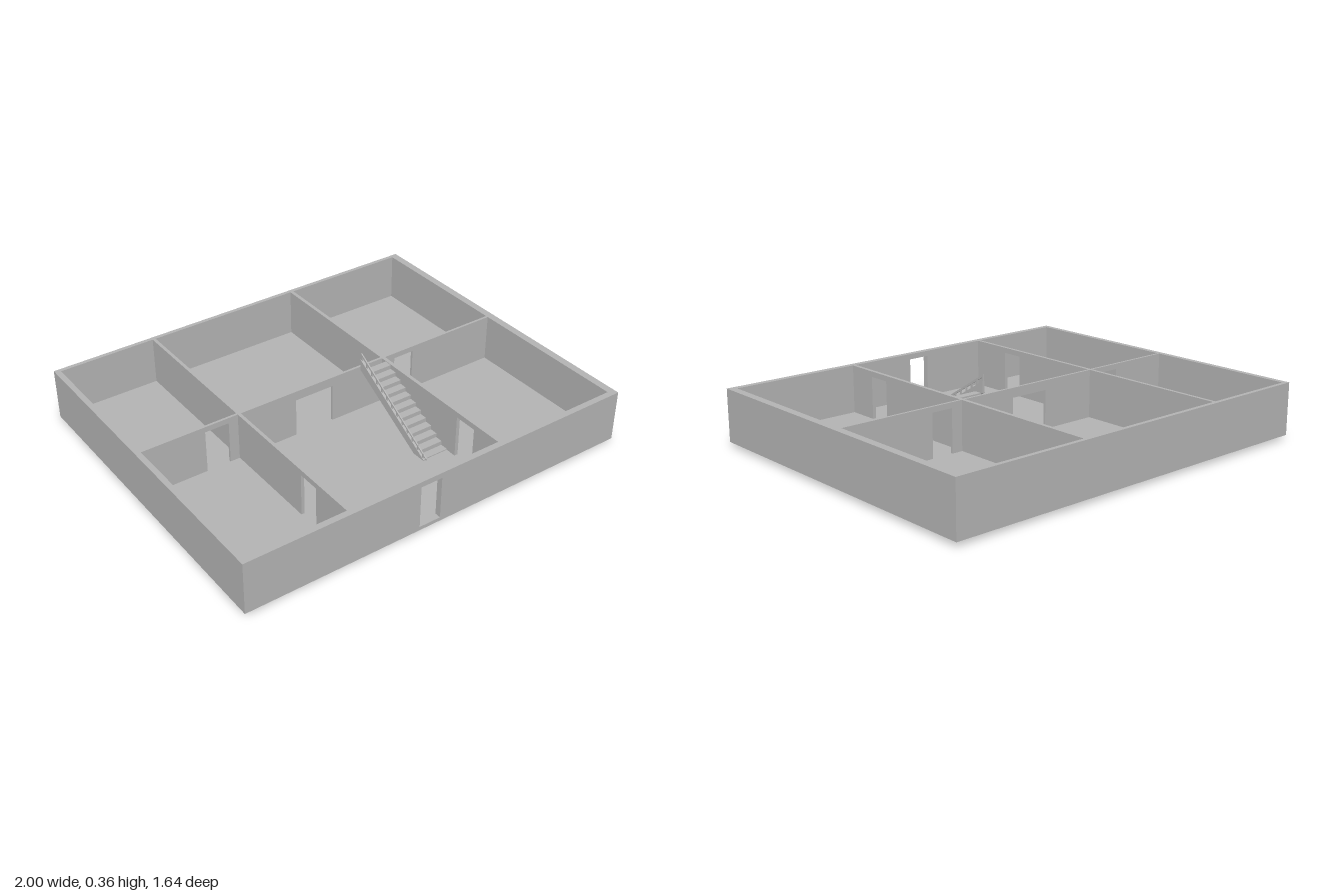
import * as THREE from 'three';

const FLOOR = 0.04, TOP = 0.277;

export function createModel() {
  const house = new THREE.Group();
  house.name = 'floorPlan';
  const grey = new THREE.MeshStandardMaterial({ color: 0xb2b2b2 });
  grey.name = 'plasterGrey';

  const add = (name, geometry, parent = house) => {
    const mesh = new THREE.Mesh(geometry, grey);
    mesh.name = name;
    parent.add(mesh);
    return mesh;
  };
  const box = (name, x0, x1, y0, y1, z0, z1, parent) => {
    const mesh = add(name, new THREE.BoxGeometry(x1 - x0, y1 - y0, z1 - z0), parent);
    mesh.position.set((x0 + x1) / 2, (y0 + y1) / 2, (z0 + z1) / 2);
    return mesh;
  };
  // Flat outline given as [along, y], extruded between two planes across x or z
  const plate = (name, axis, points, c0, c1, parent) => {
    const shape = new THREE.Shape(points.map(([a, y]) => new THREE.Vector2(a, y)));
    const mesh = add(name, new THREE.ExtrudeGeometry(shape, { depth: c1 - c0, bevelEnabled: false }), parent);
    if (axis === 'x') mesh.position.z = c0;
    else {
      mesh.rotation.y = -Math.PI / 2;
      mesh.position.x = c1;
    }
    return mesh;
  };
  // Wall running along an axis, with door notches [start, end, head height]
  const wall = (name, axis, from, to, c0, c1, doors = []) => {
    const points = [[from, FLOOR]];
    for (const [a, b, h] of doors) points.push([a, FLOOR], [a, h], [b, h], [b, FLOOR]);
    points.push([to, FLOOR], [to, TOP], [from, TOP]);
    plate(name, axis, points, c0, c1);
  };

  // Floor slab
  box('floorSlab', -1, 1, 0.022, FLOOR, -0.82, 0.82);

  // Outer walls
  wall('frontWall', 'x', -1, 1, 0.79, 0.82, [[-0.135, -0.025, 0.25]]);
  wall('backWall', 'x', -1, 1, -0.82, -0.8);
  wall('rightWall', 'z', -0.8, 0.79, -1, -0.973);
  wall('leftWall', 'z', -0.8, 0.79, 0.963, 1);

  // Inner walls
  wall('rightPartition', 'z', -0.8, 0.79, -0.492, -0.476, [[0.465, 0.575, 0.25]]);
  wall('leftPartition', 'z', -0.8, 0.79, 0.306, 0.324, [[0.52, 0.635, 0.25]]);
  wall('rightCrossWall', 'x', -0.973, -0.492, -0.04, -0.028, [[-0.66, -0.54, 0.25]]);
  wall('middleCrossWall', 'x', -0.476, 0.306, -0.04, -0.028, [[-0.183, 0.02, 0.23]]);
  wall('leftCrossWall', 'x', 0.324, 0.963, -0.04, -0.028, [[0.38, 0.49, 0.25]]);

  // Staircase climbing toward the back
  const stairs = new THREE.Group();
  stairs.name = 'staircase';
  house.add(stairs);
  const run = 0.0388, rise = 0.0208;
  for (let i = 0; i < 12; i++) {
    const z = 0.466 - i * run, y = 0.045 + i * rise;
    box('stairTread', 0.178, 0.306, y - rise, y, z - run, z, stairs);
  }
  plate('stairStringer', 'z', [[0.47, 0], [0.47, 0.045], [-0.01, 0.33], [-0.01, 0.275]], 0.166, 0.179, stairs);

  // Handrail and balusters
  const railY = z => 0.354 - (z + 0.01) * 0.6;
  plate('handrail', 'z', [[0.485, railY(0.485) - 0.008], [0.485, railY(0.485)], [-0.01, 0.362], [-0.01, 0.35]],
    0.169, 0.175, stairs);
  for (let i = 0; i < 13; i++) {
    const z = -0.006 + i * run;
    box('baluster', 0.169, 0.175, railY(z) - 0.04, railY(z), z - 0.004, z + 0.004, stairs);
  }
  return house;
}
